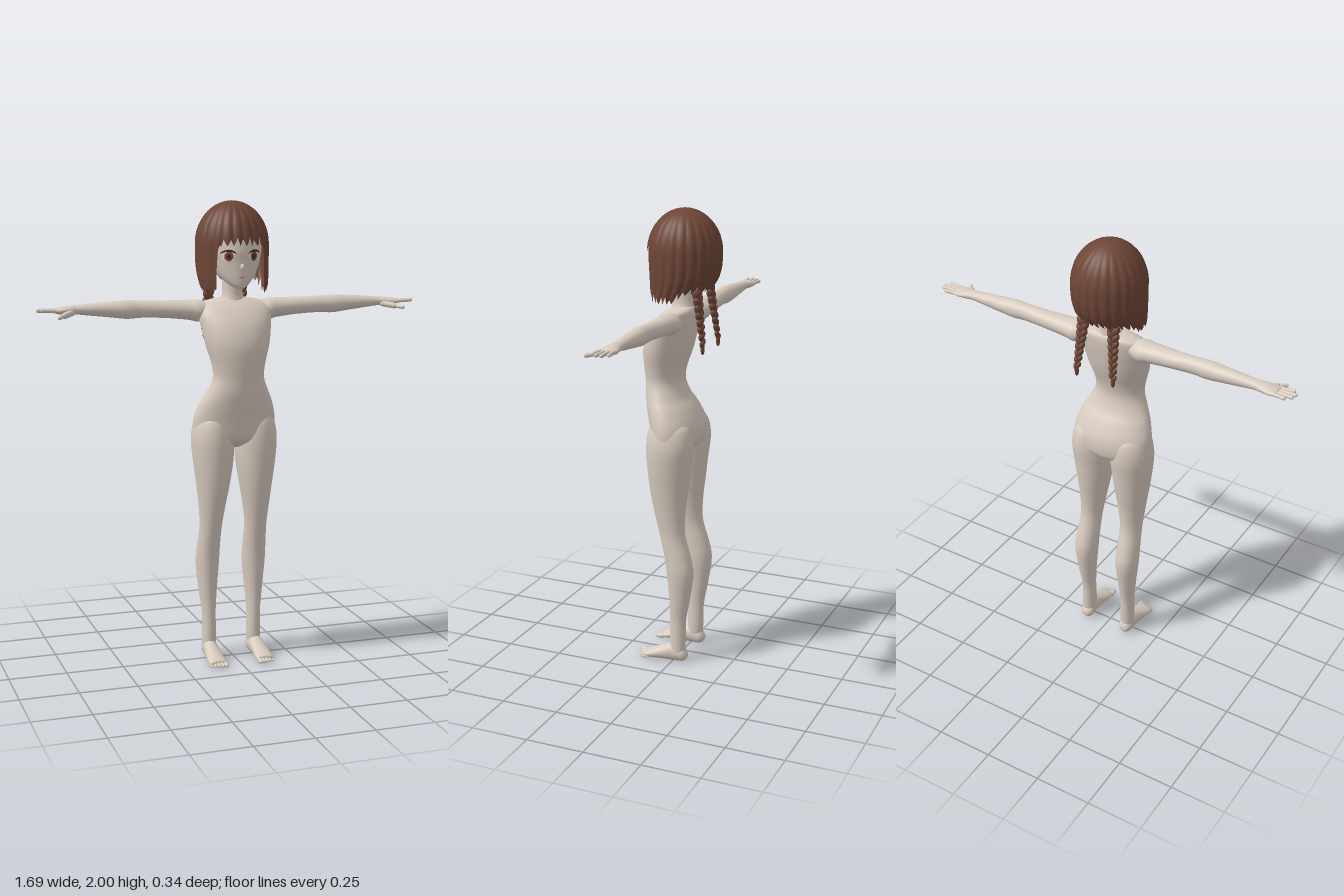
import * as THREE from 'three';
import { mergeGeometries } from 'three/addons/utils/BufferGeometryUtils.js';

const mat = (name, color, side = THREE.FrontSide) => {
  const m = new THREE.MeshStandardMaterial({ color, side });
  m.name = name;
  return m;
};

// Catmull-Rom smoothing of every column in a list of cross-sections
function smooth(rows, n = 5) {
  const out = [];
  for (let i = 0; i < rows.length - 1; i++) {
    const [p, q, r, s] = [i - 1, i, i + 1, i + 2].map(k => rows[Math.min(Math.max(k, 0), rows.length - 1)]);
    for (let k = 0; k < n; k++) {
      const t = k / n;
      out.push(q.map((b, c) => b + 0.5 * t * (r[c] - p[c] +
        t * (2 * p[c] - 5 * b + 4 * r[c] - s[c] + t * (3 * (b - r[c]) + s[c] - p[c])))));
    }
  }
  out.push(rows[rows.length - 1]);
  return out;
}

// Closed skin over ellipses [position, centreU, centreV, radiusU, radiusV] along one axis
const place = {
  y: (u, a, v) => [u, a, v],
  x: (u, a, v) => [a, v, u],
  z: (u, a, v) => [v, u, a],
};
function loft(rows, axis = 'y', seg = 32) {
  const list = smooth(rows), pos = [], index = [];
  for (const [a, cu, cv, ru, rv] of list)
    for (let j = 0; j < seg; j++) {
      const w = (j / seg) * Math.PI * 2;
      pos.push(...place[axis](cu + ru * Math.sin(w), a, cv + rv * Math.cos(w)));
    }
  const last = list.length - 1, end = list.length * seg;
  for (const r of [list[0], list[last]]) pos.push(...place[axis](r[1], r[0], r[2]));
  for (let j = 0; j < seg; j++) {
    const k = (j + 1) % seg;
    for (let i = 0; i < last; i++) {
      const a = i * seg + j, b = i * seg + k;
      index.push(a, b, b + seg, a, b + seg, a + seg);
    }
    index.push(end, k, j, end + 1, last * seg + j, last * seg + k);
  }
  return finish(pos, index);
}
function finish(pos, index) {
  const g = new THREE.BufferGeometry();
  g.setAttribute('position', new THREE.Float32BufferAttribute(pos, 3));
  g.setIndex(index);
  g.computeVertexNormals();
  return g;
}

// Rounded rod between two points
function rod(a, b, r) {
  const p = new THREE.Vector3(...a), d = new THREE.Vector3(...b).sub(p);
  const g = new THREE.CapsuleGeometry(r, d.length(), 5, 12);
  g.applyQuaternion(new THREE.Quaternion().setFromUnitVectors(new THREE.Vector3(0, 1, 0), d.clone().normalize()));
  return g.translate(...p.addScaledVector(d, 0.5).toArray());
}
const ball = (x, y, z, rx, ry, rz, tilt = 0) =>
  new THREE.SphereGeometry(1, 14, 10).scale(rx, ry, rz).rotateZ(tilt).translate(x, y, z);

function mirror(g) {
  const m = g.clone().scale(-1, 1, 1), ix = m.index.array;
  for (let i = 0; i < ix.length; i += 3) [ix[i], ix[i + 1]] = [ix[i + 1], ix[i]];
  m.computeVertexNormals();
  return m;
}

// Section given by front z, back z and half width
const sec = ([y, zf, zb, rx]) => [y, 0, (zf + zb) / 2, rx, (zf - zb) / 2];

const headRows = [
  [1.635, 0.112, 0.085, 0.012], [1.645, 0.12, 0.06, 0.03], [1.665, 0.124, 0.02, 0.055], [1.7, 0.126, -0.05, 0.086],
  [1.75, 0.127, -0.1, 0.11], [1.8, 0.13, -0.12, 0.12], [1.88, 0.116, -0.12, 0.115],
  [1.94, 0.07, -0.085, 0.075], [1.965, 0.02, -0.03, 0.02],
].map(sec);
const headFine = smooth(headRows);
function faceZ(x, y) {
  const i = Math.max(1, headFine.findIndex(r => r[0] >= y)), a = headFine[i - 1], b = headFine[i];
  const t = (y - a[0]) / (b[0] - a[0]), [, , cz, rx, rz] = a.map((v, c) => v + (b[c] - v) * t);
  return cz + rz * Math.sqrt(Math.max(0, 1 - (x / rx) ** 2));
}
// Thin oval painted on the face
function facePatch(x, y, rx, ry, lift, bend = 0) {
  const g = new THREE.RingGeometry(0, 1, 24, 4), p = g.attributes.position;
  for (let i = 0; i < p.count; i++) {
    const u = p.getX(i), px = x + u * rx, py = y + p.getY(i) * ry - bend * u * u;
    p.setXYZ(i, px, py, faceZ(px, py) + lift);
  }
  g.computeVertexNormals();
  return g;
}

// Bobbed hair shell with ridges, a fringe and a pointed hem
function hairShell() {
  const N = 216, M = 22, pos = [], index = [];
  const low = smooth([
    [1.58, 0.13, -0.06, 0.118], [1.64, 0.138, -0.1, 0.142], [1.7, 0.142, -0.145, 0.151],
    [1.76, 0.144, -0.163, 0.154], [1.82, 0.146, -0.166, 0.154],
  ]);
  const section = y => {
    if (y >= 1.82) {
      const s = Math.sqrt(Math.max(0, 1 - ((y - 1.82) / 0.18) ** 2));
      return [-0.01 + 0.156 * s, -0.01 - 0.156 * s, 0.154 * s];
    }
    const i = Math.max(1, low.findIndex(r => r[0] >= y)), a = low[i - 1], b = low[i];
    const t = (y - a[0]) / (b[0] - a[0]);
    return [1, 2, 3].map(c => a[c] + (b[c] - a[c]) * t);
  };
  for (let j = 0; j < N; j++) {
    const w = (j / N) * Math.PI * 2, d = Math.min(w, Math.PI * 2 - w);
    const tooth = Math.abs(((j % 6) / 6) * 2 - 1), vary = 0.5 + 0.5 * Math.sin(Math.floor(j / 6) * 2.4);
    const hem = 1.815 - 0.2 * THREE.MathUtils.smoothstep(d, 0.6, 0.88)
      + 0.045 * THREE.MathUtils.smoothstep(d, 1.7, 2.3) + tooth * (0.015 + 0.025 * vary);
    for (let i = 0; i <= M; i++) {
      const t = i / M, y = hem + (2 - hem) * Math.cos(t * Math.PI / 2);
      const [zf, zb, rx] = section(i === M ? hem : y);
      const k = 1 + 0.035 * (Math.abs(Math.sin(w * 11)) - 0.5) * Math.min(1, t * 2);
      pos.push(rx * k * Math.sin(w), y, (zf + zb) / 2 + (zf - zb) / 2 * k * Math.cos(w));
    }
  }
  for (let j = 0; j < N; j++)
    for (let i = 0; i < M; i++) {
      const a = j * (M + 1) + i, b = ((j + 1) % N) * (M + 1) + i;
      index.push(a, a + 1, b + 1, a, b + 1, b);
    }
  return finish(pos, index);
}

// Plait of paired lobes with a tapered end
function braid() {
  const parts = [], n = 8;
  for (let i = 0; i < n; i++) {
    const t = i / (n - 1), r = 0.021 - 0.008 * t;
    const x = 0.07 + 0.015 * t, y = 1.665 - 0.205 * t, z = -0.095 - 0.03 * t;
    for (const s of [-1, 1])
      parts.push(ball(x + s * r * 0.5, y - (s > 0 ? 0.012 : 0), z, r * 0.72, r * 1.25, r * 0.85, -s * 0.5));
  }
  parts.push(ball(0.087, 1.432, -0.126, 0.009, 0.026, 0.009));
  return mergeGeometries(parts);
}

export function createModel() {
  const model = new THREE.Group();
  model.name = 'figure';
  const skin = mat('skin', 0xd8cbbf), hair = mat('hair', 0x6d4536), hairOpen = mat('hairShell', 0x6d4536, THREE.DoubleSide);
  const white = mat('eyeWhite', 0xe9e4e0), iris = mat('iris', 0x84493f), dark = mat('lash', 0x38231f), lip = mat('lip', 0xb98478);
  const add = (name, g, m) => {
    const mesh = new THREE.Mesh(g, m);
    mesh.name = name;
    model.add(mesh);
  };
  const pair = (name, g, m) => {
    add(name + 'Left', g, m);
    add(name + 'Right', mirror(g), m);
  };

  // Smooth mannequin trunk, neck and head
  add('torso', loft([
    [0.955, 0.06, -0.03, 0.05], [0.98, 0.1, -0.065, 0.13], [1.01, 0.118, -0.088, 0.178], [1.08, 0.13, -0.087, 0.181],
    [1.15, 0.145, -0.055, 0.16], [1.2, 0.154, -0.022, 0.135], [1.26, 0.159, -0.002, 0.112], [1.32, 0.165, -0.008, 0.117],
    [1.4, 0.167, -0.035, 0.139], [1.48, 0.142, -0.052, 0.154], [1.54, 0.1, -0.06, 0.16],
    [1.575, 0.06, -0.06, 0.14], [1.592, 0.035, -0.05, 0.07],
  ].map(sec), 'y', 48), skin);
  add('neck', loft([[1.56, 0.055, -0.06, 0.065], [1.6, 0.045, -0.052, 0.046], [1.65, 0.045, -0.05, 0.043], [1.72, 0.05, -0.05, 0.045]].map(sec)), skin);
  add('head', loft(headRows, 'y', 40), skin);
  add('nose', ball(0, 1.728, 0.127, 0.008, 0.014, 0.017), skin);
  pair('ear', ball(0.112, 1.755, -0.01, 0.012, 0.03, 0.02), skin);

  // Arms and hands
  pair('arm', loft([
    [0.09, 0, 1.54, 0.03, 0.03], [0.15, -0.003, 1.54, 0.055, 0.046], [0.2, -0.006, 1.545, 0.05, 0.042],
    [0.3, -0.01, 1.55, 0.042, 0.037], [0.4, -0.01, 1.553, 0.036, 0.036], [0.46, -0.01, 1.553, 0.038, 0.039],
    [0.52, -0.012, 1.555, 0.036, 0.034], [0.6, -0.014, 1.557, 0.03, 0.027], [0.67, -0.015, 1.558, 0.026, 0.02],
    [0.7, -0.015, 1.558, 0.031, 0.019], [0.74, -0.015, 1.556, 0.037, 0.016], [0.768, -0.015, 1.556, 0.034, 0.01],
  ], 'x'), skin);
  const tips = [0.82, 0.836, 0.83, 0.806];
  pair('fingers', mergeGeometries(tips.map((x, i) =>
    rod([0.75, 1.557, 0.01 - i * 0.017], [x, 1.56 - i * 0.001, 0.014 - i * 0.02], 0.0078))), skin);
  pair('thumb', mergeGeometries([
    rod([0.695, 1.548, 0.005], [0.735, 1.54, 0.042], 0.013), rod([0.735, 1.54, 0.042], [0.762, 1.535, 0.073], 0.0085),
  ]), skin);

  // Legs, feet and toes
  pair('leg', loft([
    [0.03, 0.105, -0.02, 0.03, 0.034], [0.1, 0.103, -0.02, 0.031, 0.036], [0.2, 0.104, -0.022, 0.03, 0.037],
    [0.3, 0.106, -0.03, 0.039, 0.047], [0.42, 0.107, -0.033, 0.05, 0.06], [0.5, 0.106, -0.02, 0.05, 0.059],
    [0.6, 0.103, 0.006, 0.048, 0.057], [0.7, 0.1, 0.018, 0.058, 0.07], [0.8, 0.097, 0.022, 0.073, 0.086],
    [0.9, 0.096, 0.022, 0.087, 0.097], [1, 0.097, 0.018, 0.092, 0.104], [1.08, 0.095, 0.018, 0.075, 0.09], [1.12, 0.09, 0.02, 0.04, 0.05],
  ]), skin);
  pair('foot', loft([
    [-0.063, 0.03, 0.103, 0.012, 0.014], [-0.045, 0.035, 0.103, 0.032, 0.029], [0, 0.042, 0.105, 0.042, 0.032],
    [0.05, 0.033, 0.107, 0.032, 0.035], [0.1, 0.022, 0.108, 0.021, 0.039], [0.138, 0.015, 0.108, 0.012, 0.037],
  ], 'z'), skin);
  pair('toes', mergeGeometries([0, 1, 2, 3, 4].map(i =>
    ball(0.078 + i * 0.0155, 0.012 - i * 0.0008, 0.147 - i * 0.005, 0.0105 - i * 0.0007, 0.011 - i * 0.0008, 0.024))), skin);

  // Painted face
  pair('eyeWhite', facePatch(0.056, 1.772, 0.026, 0.021, 0.002), white);
  pair('iris', facePatch(0.055, 1.772, 0.017, 0.02, 0.0035), iris);
  pair('pupil', facePatch(0.055, 1.772, 0.007, 0.01, 0.005), dark);
  pair('lash', facePatch(0.057, 1.796, 0.031, 0.0045, 0.0055, 0.012), dark);
  add('mouth', facePatch(0, 1.684, 0.014, 0.0025, 0.002, -0.002), lip);

  // Hair
  add('hairBob', hairShell(), hairOpen);
  pair('braid', braid(), hair);
  return model;
}
